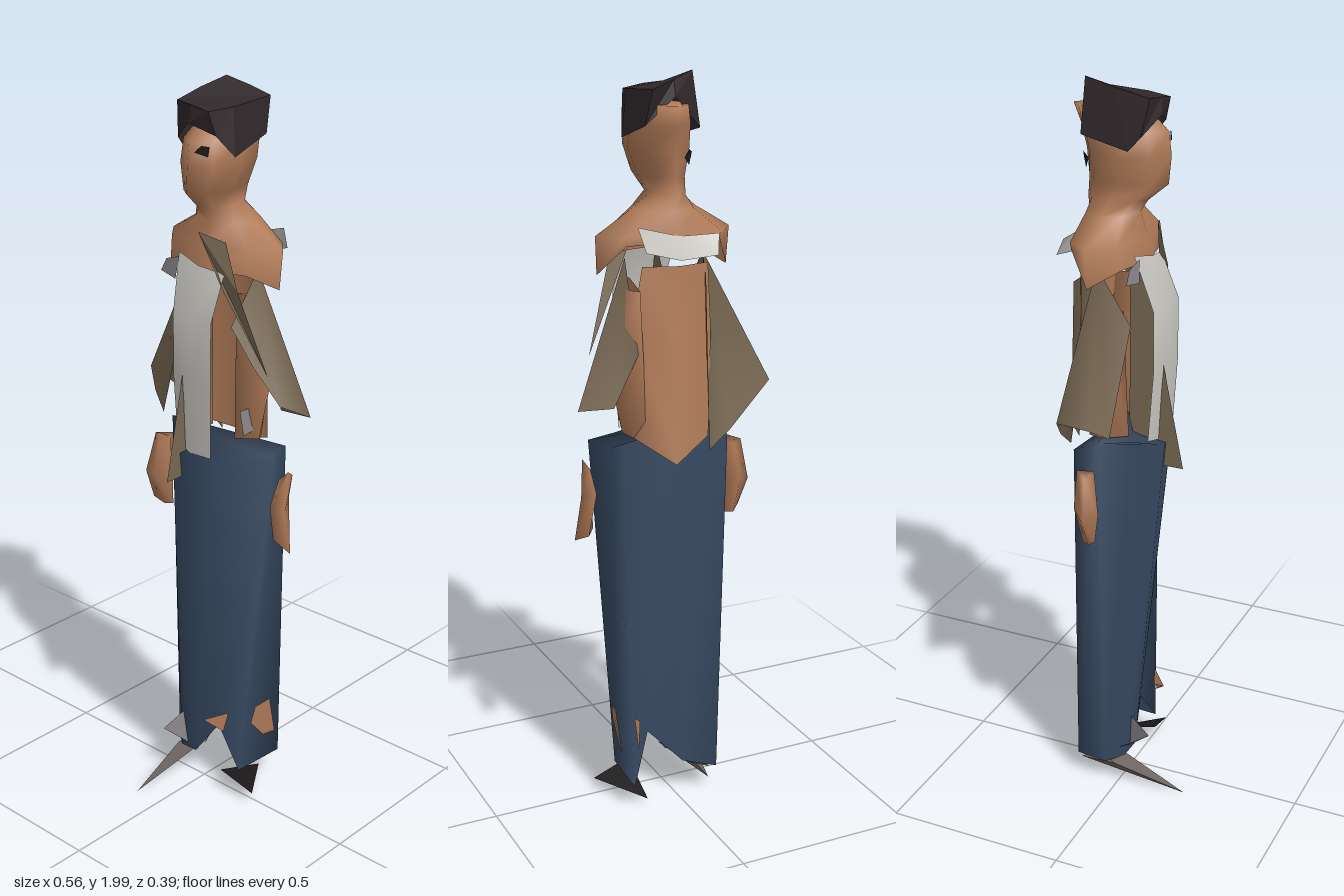
import * as THREE from 'three';

const mat = (name, color) =>
  new THREE.MeshStandardMaterial({ name, color, side: THREE.DoubleSide });

// Mesh from a few points and triangles; flat gives faceted shading
function surface(name, material, points, index, flat = false) {
  let g = new THREE.BufferGeometry();
  g.setAttribute('position', new THREE.Float32BufferAttribute(points.flat(), 3));
  g.setIndex(index);
  if (flat) g = g.toNonIndexed();
  g.computeVertexNormals();
  const m = new THREE.Mesh(g, material);
  m.name = name;
  return m;
}

// Skin a list of equal-length rings from top to bottom
function loft(name, material, rings, { closed = true, capTop = false, capBottom = false, flat = false } = {}) {
  const n = rings[0].length, idx = [];
  for (let r = 0; r < rings.length - 1; r++)
    for (let i = 0; i < (closed ? n : n - 1); i++) {
      const a = r * n + i, b = r * n + (i + 1) % n;
      idx.push(a, a + n, b, b, a + n, b + n);
    }
  const last = (rings.length - 1) * n;
  for (let i = 1; i < n - 1; i++) {
    if (capTop) idx.push(0, i, i + 1);
    if (capBottom) idx.push(last, last + i + 1, last + i);
  }
  return surface(name, material, rings.flat(), idx, flat);
}

// Fan of triangles around the first point
function fan(name, material, points, flat = true) {
  const idx = [];
  for (let i = 1; i < points.length - 1; i++) idx.push(0, i, i + 1);
  return surface(name, material, points, idx, flat);
}

// Eight-sided ring given its extents
function oval([y, x0, x1, zBack, zFront]) {
  const cx = (x0 + x1) / 2, cz = (zBack + zFront) / 2, ring = [];
  for (let i = 0; i < 8; i++) {
    const a = (i / 8) * Math.PI * 2;
    ring.push([cx + Math.sin(a) * (x1 - x0) / 2, y, cz + Math.cos(a) * (zFront - zBack) / 2]);
  }
  return ring;
}

export function createModel() {
  const skin = mat('skin', 0xb27c59);
  const hair = mat('hair', 0x30282b);
  const denim = mat('denim', 0x35475f);
  const cloth = mat('jacket cloth', 0x786852);
  const white = mat('shirt white', 0xcac8c2);
  const sole = mat('shoe grey', 0x6e6462);
  const grey = mat('sock grey', 0x8a868a);
  const dark = mat('dark', 0x1c181a);
  const model = new THREE.Group();
  const add = (...parts) => model.add(...parts);

  // Head, neck and sloping shoulders, cut higher at the back
  const hem = oval([1.5, -0.16, 0.205, -0.15, 0.04])
    .map(([x, y, z]) => [x, z < -0.1 ? 1.58 : z > 0 ? 1.54 : y, z]);
  add(loft('headAndShoulders', skin, [...[
    [1.92, -0.02, 0.08, -0.177, 0.03],
    [1.87, -0.045, 0.1, -0.155, 0.085],
    [1.81, -0.05, 0.105, -0.14, 0.092],
    [1.74, -0.035, 0.075, -0.13, 0.088],
    [1.695, -0.03, 0.055, -0.13, 0.035],
    [1.66, -0.065, 0.115, -0.135, 0.01],
    [1.6, -0.165, 0.21, -0.15, 0.03],
  ].map(oval), hem], { capTop: true }));

  // Angular cap of hair with points in front of the ears and at the nape
  add(loft('hair', hair, [
    [[-0.035, 1.96, 0.06], [0.02, 1.955, 0.068], [0.075, 1.945, 0.068], [0.095, 1.95, 0],
      [0.09, 1.96, -0.145], [0.03, 1.98, -0.135], [-0.03, 2, -0.115], [-0.04, 1.98, -0.03]],
    [[-0.05, 1.865, 0.042], [0.01, 1.91, 0.07], [0.085, 1.885, 0.052], [0.107, 1.83, 0.005],
      [0.1, 1.87, -0.12], [0.03, 1.94, -0.145], [-0.05, 1.86, -0.12], [-0.056, 1.83, 0.01]],
  ], { capTop: true, flat: true }));

  // Eye and nape spot
  add(fan('eye', dark, [[0.045, 1.845, 0.085], [0.075, 1.835, 0.068], [0.078, 1.86, 0.066], [0.06, 1.862, 0.077]]));
  add(fan('napeSpot', dark, [[0, 1.79, -0.135], [-0.015, 1.81, -0.13], [-0.035, 1.8, -0.105], [-0.02, 1.77, -0.12]]));

  // Shirt front, side scraps and back collar
  add(loft('shirtFront', white, [
    [[-0.06, 1.57, 0.03], [0.02, 1.55, 0.045], [0.1, 1.54, 0.035]],
    [[-0.04, 1.42, 0.075], [0.02, 1.42, 0.09], [0.1, 1.42, 0.085]],
    [[-0.04, 1.25, 0.075], [0.02, 1.25, 0.09], [0.1, 1.25, 0.085]],
    [[-0.04, 1.06, 0.06], [0.02, 1.05, 0.08], [0.09, 1.05, 0.075]],
  ], { closed: false }));
  add(fan('shirtCollarSide', grey, [[-0.12, 1.51, 0.035], [-0.06, 1.5, 0.045], [-0.05, 1.56, 0.04], [-0.1, 1.545, 0.035]]));
  add(fan('shirtSide', grey, [[0.13, 1.1, -0.01], [0.13, 1.11, -0.08], [0.125, 1.17, -0.09], [0.125, 1.17, 0]]));
  add(loft('backCollar', white, [
    [[-0.09, 1.6, -0.152], [0.02, 1.6, -0.15], [0.135, 1.63, -0.152]],
    [[-0.075, 1.55, -0.18], [0.02, 1.54, -0.16], [0.125, 1.57, -0.18]],
  ], { closed: false }));

  // Bare back and arms
  add(loft('back', skin, [
    [[-0.08, 1.52, -0.11], [0.01, 1.52, -0.13], [0.1, 1.52, -0.1]],
    [[-0.09, 1.34, -0.11], [0.02, 1.34, -0.145], [0.13, 1.36, -0.1]],
    [[-0.08, 1.06, -0.12], [0.05, 1.02, -0.2], [0.12, 1.07, -0.09]],
  ], { closed: false }));
  add(loft('leftArm', skin, [
    [[0.1, 1.48, -0.02], [0.15, 1.46, -0.05], [0.11, 1.46, -0.11]],
    [[0.1, 1.3, -0.01], [0.18, 1.26, -0.06], [0.11, 1.28, -0.13]],
    [[0.09, 1.08, -0.02], [0.14, 1.08, -0.06], [0.1, 1.06, -0.12]],
  ], { capBottom: true }));
  add(loft('rightArm', skin, [
    [[-0.06, 1.42, 0], [-0.1, 1.4, -0.04], [-0.06, 1.4, -0.1]],
    [[-0.05, 1.07, 0.01], [-0.11, 1.08, -0.04], [-0.06, 1.06, -0.1]],
  ], { capBottom: true }));

  // Open jacket: flaring sleeves, lapel and the front edge
  add(fan('rightSleeve', cloth, [
    [-0.09, 1.54, -0.06], [-0.06, 1.38, 0.02], [-0.15, 1.1, 0], [-0.21, 1.14, -0.03],
    [-0.28, 1.18, -0.085], [-0.13, 1.08, -0.15], [-0.07, 1.03, -0.15], [-0.06, 1.48, -0.14],
  ], false));
  add(fan('leftSleeve', cloth, [
    [0.13, 1.54, -0.06], [0.11, 1.4, 0.02], [0.17, 1.3, 0], [0.23, 1.2, -0.035],
    [0.28, 1.165, -0.1], [0.18, 1.16, -0.1], [0.12, 1.3, -0.12],
  ], false));
  add(fan('leftLapel', cloth, [[0.03, 1.64, 0.055], [0.1, 1.62, 0.03], [0.14, 1.5, 0.03], [0.21, 1.28, -0.01], [0.11, 1.5, 0.05]]));
  add(fan('frontEdge', cloth, [[0.004, 1.56, 0.025], [0.002, 1.25, 0.08], [0, 0.98, 0.145], [0, 0.98, 0.02], [0, 1.1, -0.01], [0.003, 1.5, -0.01]]));

  // Tapered trousers with a jagged hem and a cleft down the back
  add(loft('trousers', denim, [
    [[-0.15, 1.08, -0.035], [-0.08, 1.07, 0.03], [-0.02, 1.05, 0.1], [0.1, 1.04, 0.07], [0.22, 1.06, -0.02],
      [0.19, 1.06, -0.11], [0.12, 1.05, -0.03], [0.03, 1.05, -0.09], [-0.145, 1.05, -0.105]],
    [[-0.125, 0.08, -0.03], [-0.08, 0.085, 0.01], [-0.02, 0.09, 0.015], [0.055, 0.2, 0], [0.14, 0.09, 0.01],
      [0.15, 0.09, -0.15], [0.07, 0.2, -0.06], [-0.01, 0.12, -0.12], [-0.115, 0.08, -0.12]],
  ], { capTop: true }));

  // Hands hanging at the sides
  add(loft('rightHand', skin, [
    [[-0.17, 1.01, -0.045], [-0.19, 1.02, -0.025], [-0.22, 1.01, -0.04], [-0.18, 1.01, -0.08]],
    [[-0.16, 0.9, -0.045], [-0.2, 0.9, -0.01], [-0.25, 0.89, -0.03], [-0.2, 0.91, -0.08]],
    [[-0.16, 0.81, -0.045], [-0.18, 0.81, -0.03], [-0.22, 0.82, -0.03], [-0.19, 0.81, -0.06]],
  ], { capTop: true, capBottom: true }));
  add(loft('leftHand', skin, [
    [[0.235, 1.0, -0.03], [0.25, 1.02, -0.05], [0.24, 1.0, -0.08]],
    [[0.215, 0.92, -0.02], [0.25, 0.91, -0.04], [0.225, 0.93, -0.085]],
    [[0.215, 0.82, -0.035], [0.27, 0.795, -0.04], [0.24, 0.81, -0.065]],
  ], { capTop: true, capBottom: true }));

  // Torn patches at the shins
  add(fan('shinPatch', skin, [[0.165, 0.29, -0.03], [0.175, 0.3, -0.08], [0.17, 0.18, -0.11], [0.16, 0.18, -0.07], [0.158, 0.24, -0.02]]));
  add(fan('shinPatch', skin, [[0.06, 0.25, 0.07], [0.08, 0.235, 0.03], [0.11, 0.27, 0.02], [0.1, 0.21, 0.03], [0.07, 0.22, 0.03]]));
  add(fan('shinPatch', skin, [[0.12, 0.27, -0.12], [0.15, 0.3, -0.15], [0.14, 0.2, -0.155]]));

  // Sock points and shoes
  add(fan('sockFront', grey, [[-0.08, 0.17, 0.085], [-0.1, 0.12, 0], [-0.05, 0.1, 0.01], [-0.06, 0.21, 0.02]]));
  add(fan('sockHeel', grey, [[-0.04, 0.08, -0.05], [-0.1, 0.07, -0.03], [-0.1, 0.075, -0.11], [-0.06, 0.11, -0.12]]));
  add(surface('rightShoe', sole, [
    [-0.082, 0.01, 0.195], [-0.11, 0.07, -0.01], [-0.05, 0.07, 0], [-0.09, 0.05, -0.12], [-0.07, 0.08, -0.08],
  ], [0, 2, 1, 1, 2, 4, 1, 4, 3, 2, 3, 4, 0, 1, 3, 0, 3, 2], true));
  add(fan('leftShoe', dark, [[0.09, 0.08, 0.03], [0.2, 0.045, 0.02], [0.1, 0.03, -0.125]]));

  return model;
}
